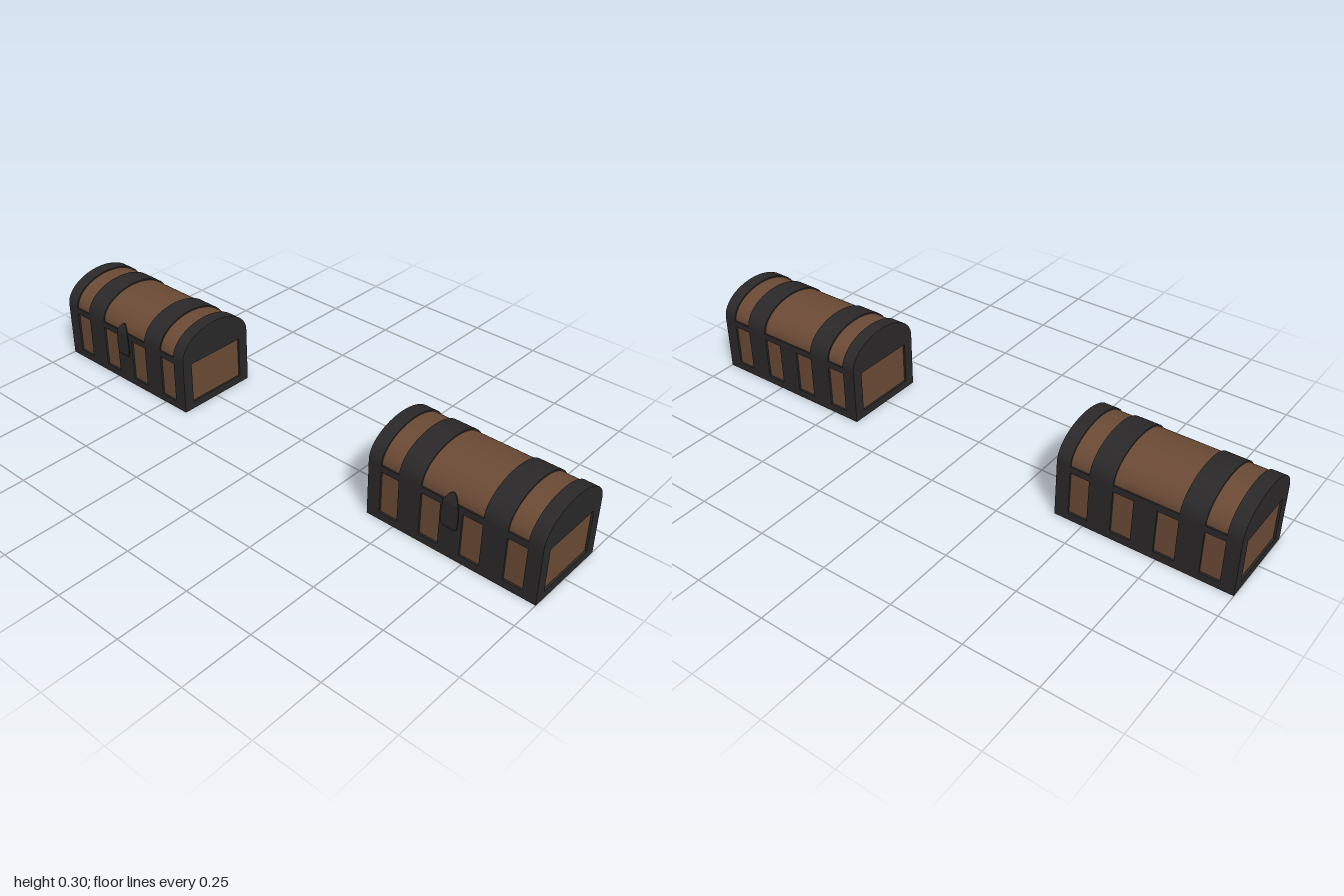
import * as THREE from 'three';

const W = 0.6, D = 0.3, BASE = 0.2, RISE = 0.096; // chest width, depth, base height, lid rise
const INSET = 0.007;                              // how deep the wood sits in the metal
const wood = new THREE.MeshStandardMaterial({ color: 0x6b4a35 });
const iron = new THREE.MeshStandardMaterial({ color: 0x2a2829 });

function add(parent, name, geometry, material, x = 0, y = 0, z = 0, ry = 0) {
  const mesh = new THREE.Mesh(geometry, material);
  mesh.name = name;
  mesh.position.set(x, y, z);
  mesh.rotation.y = ry;
  parent.add(mesh);
  return mesh;
}

// Flat iron frame with rectangular windows between y 0.027 and 0.177
function frameGeometry(width, windows) {
  const rect = (path, x0, x1, y0, y1) =>
    path.moveTo(x0, y0).lineTo(x1, y0).lineTo(x1, y1).lineTo(x0, y1).closePath();
  const shape = new THREE.Shape();
  rect(shape, -width / 2, width / 2, 0, BASE);
  for (const [x0, x1] of windows) {
    const hole = new THREE.Path();
    rect(hole, x0, x1, 0.027, 0.177);
    shape.holes.push(hole);
  }
  return new THREE.ExtrudeGeometry(shape, { depth: INSET, bevelEnabled: false });
}

// Half-ellipse lid section running along x from x0 to x1
function archGeometry(x0, x1, inset) {
  const shape = new THREE.Shape();
  shape.absellipse(0, BASE, D / 2 - inset, RISE - inset, 0, Math.PI, false, 0);
  shape.closePath();
  const geometry = new THREE.ExtrudeGeometry(shape, { depth: x1 - x0, bevelEnabled: false, curveSegments: 24 });
  geometry.rotateY(Math.PI / 2);
  geometry.translate(x0, 0, 0);
  return geometry;
}

// Thin bent hasp, lofted from rows of [y, half width, z]
function haspGeometry() {
  const rows = [
    [0.105, 0.008, 0.151], [0.109, 0.019, 0.155], [0.118, 0.027, 0.158], [0.135, 0.03, 0.158],
    [0.17, 0.029, 0.158], [0.2, 0.026, 0.158], [0.213, 0.021, 0.154], [0.223, 0.014, 0.15], [0.231, 0.005, 0.145],
  ];
  const t = 0.003, positions = [], index = [];
  for (const [y, w, z] of rows)
    positions.push(-w, y, z, w, y, z, w, y, z - t, -w, y, z - t);
  for (let r = 0; r < rows.length - 1; r++)
    for (let k = 0; k < 4; k++) {
      const a = r * 4 + k, b = r * 4 + (k + 1) % 4;
      index.push(a, b, b + 4, a, b + 4, a + 4);
    }
  const e = (rows.length - 1) * 4;
  index.push(0, 3, 2, 0, 2, 1, e, e + 1, e + 2, e, e + 2, e + 3);
  const indexed = new THREE.BufferGeometry();
  indexed.setAttribute('position', new THREE.Float32BufferAttribute(positions, 3));
  indexed.setIndex(index);
  const geometry = indexed.toNonIndexed();
  geometry.computeVertexNormals();
  return geometry;
}

function createChest() {
  const chest = new THREE.Group();
  chest.name = 'chest';
  const innerW = W - 2 * INSET, innerD = D - 2 * INSET;

  // Wooden base and iron floor
  const coreH = BASE - INSET;
  add(chest, 'woodenBase', new THREE.BoxGeometry(innerW, coreH, innerD), wood, 0, INSET + coreH / 2, 0);
  add(chest, 'floorPlate', new THREE.BoxGeometry(innerW, INSET, innerD), iron, 0, INSET / 2, 0);

  // Iron frames on the four sides
  const long = frameGeometry(W, [[-0.253, -0.187], [-0.107, -0.038], [0.038, 0.107], [0.187, 0.253]]);
  const short = frameGeometry(innerD, [[-0.112, 0.112]]);
  add(chest, 'frontFrame', long, iron, 0, 0, D / 2 - INSET);
  add(chest, 'backFrame', long, iron, 0, 0, -D / 2 + INSET, Math.PI);
  add(chest, 'leftFrame', short, iron, W / 2 - INSET, 0, 0, Math.PI / 2);
  add(chest, 'rightFrame', short, iron, -W / 2 + INSET, 0, 0, -Math.PI / 2);

  // Barrel lid with iron bands
  add(chest, 'woodenLid', archGeometry(-0.28, 0.28, 0.005), wood);
  for (const [x0, x1] of [[-0.3, -0.253], [-0.187, -0.107], [0.107, 0.187], [0.253, 0.3]])
    add(chest, 'lidBand', archGeometry(x0, x1, 0), iron);

  // Hasp on the front
  add(chest, 'hasp', haspGeometry(), iron);
  return chest;
}

export function createModel() {
  const model = new THREE.Group();
  model.name = 'chestPair';
  for (const x of [-0.7, 0.7]) {
    const chest = createChest();
    chest.position.set(x, 0, -0.004);
    model.add(chest);
  }
  return model;
}
